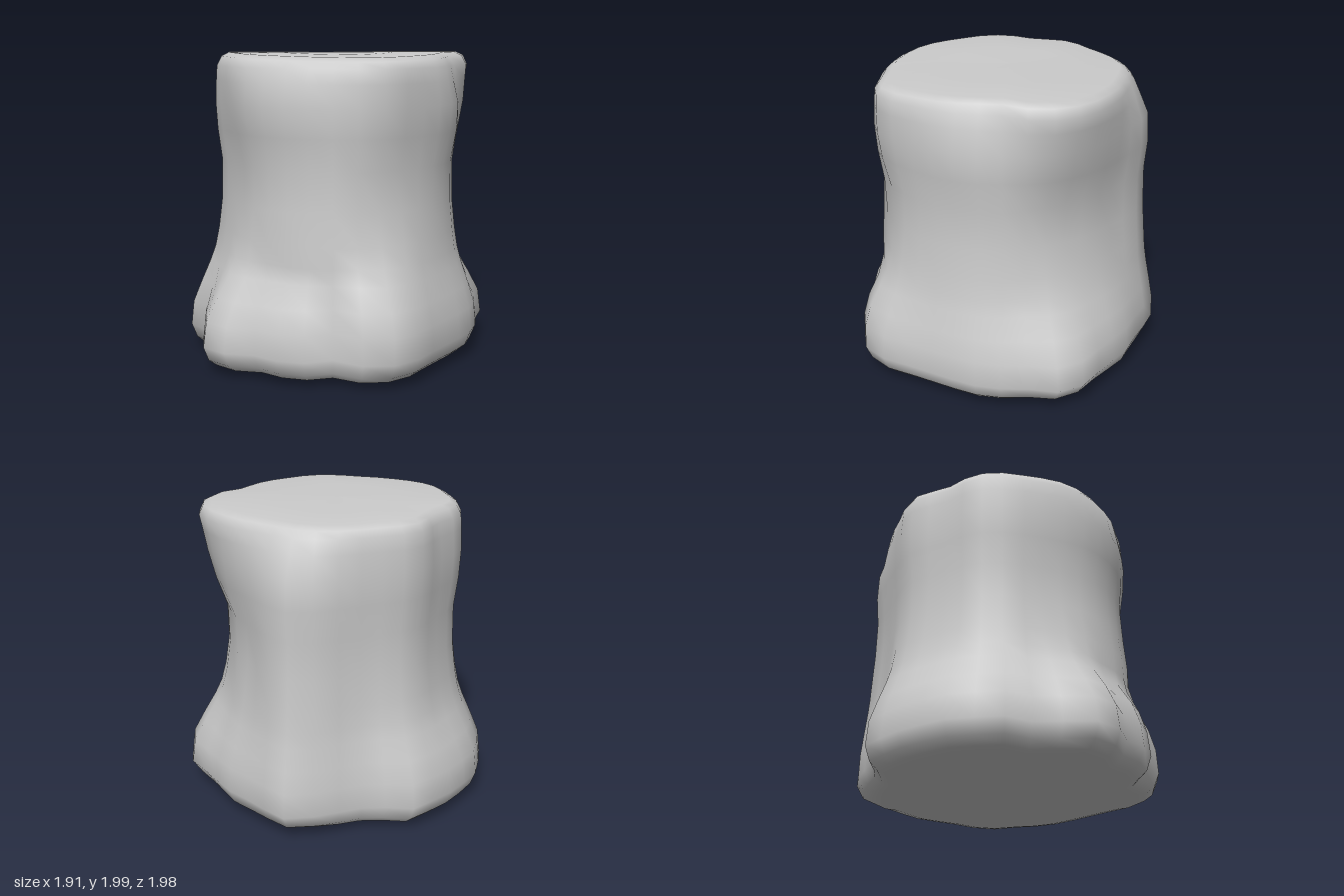
import * as THREE from 'three';

// Radii every 10 degrees, turning from +x towards +z
const ROOTS = [.95, .93, .93, .96, 1.03, 1.07, 1.04, .94, .99, .99, .96, 1.04, 1.06, .97, .91, .98, .97, .975,
  .95, .94, .93, .94, .85, .82, .86, .93, 1.0, .95, .92, .93, .93, .96, 1.03, 1.04, .97, .96];
const WAIST = [.80, .80, .81, .82, .85, .86, .83, .83, .82, .81, .79, .77, .74, .73, .74, .76, .76, .74,
  .72, .73, .75, .75, .74, .76, .80, .87, .90, .86, .81, .78, .76, .74, .74, .75, .765, .79];
const RIM = [.77, .79, .81, .83, .87, .89, .86, .82, .81, .80, .80, .80, .79, .77, .76, .77, .77, .74,
  .70, .72, .76, .75, .73, .74, .76, .77, .77, .76, .77, .80, .83, .87, .90, .90, .86, .77];

// Cross-sections: height, share of roots, waist and rim outline
const RINGS = [
  [.025, 0, 0, 0], [.025, .5, 0, 0], [.03, .84, 0, 0], [.045, .91, 0, 0], [.09, .965, 0, 0], [.18, 1, 0, 0],
  [.34, .92, .08, 0], [.48, .66, .34, 0], [.62, .38, .62, 0], [.72, .22, .78, 0], [.85, .1, .9, 0], [1.05, .02, .97, 0],
  [1.3, 0, .92, .07], [1.5, 0, .66, .36], [1.68, 0, .44, .59], [1.82, 0, .22, .8], [1.91, 0, .05, .96],
  [1.96, 0, 0, .97], [1.985, 0, 0, .91], [1.99, 0, 0, .5], [1.99, 0, 0, 0],
];

// Bark swellings (+) and hollows (-): angle, its slant per height, width, height, extent, depth
const BARK = [
  [82, -16, 9, 1.1, .55, .025], // slanting front fold
  [62, -13, 12, 1.1, .55, -.035], // hollow beside it
  [55, 0, 11, .5, .2, .04], // front root knuckle
  [70, 0, 8, .35, .25, -.045], // cleft between front roots
  [92, 0, 22, .65, .1, -.04], // crease above the front roots
  [95, 0, 28, 1.68, .16, .035], // swelling below the front rim
  [260, 0, 16, 1.62, .2, .045], // swelling below the back rim
  [4, 0, 18, 1.62, .2, .035], // swelling below the side rim
  [288, 0, 9, 1.15, .35, -.025], // groove beside the back ridge
  [235, 0, 9, .85, .4, -.02], // groove on its other side
  [320, 0, 20, .02, .08, -.06], // undercut back roots
  [260, 0, 14, .02, .06, -.06],
];

const bump = (d, width) => Math.exp(-(d * d) / (width * width));

const bark = (deg, y) => BARK.reduce((sum, [angle, slant, width, height, extent, depth]) => {
  const d = (deg - angle - slant * y + 540) % 360 - 180;
  return sum + depth * bump(d, width) * bump(y - height, extent);
}, 0);

function stumpGeometry() {
  const n = ROOTS.length, positions = [], index = [];
  RINGS.forEach(([y, a, b, c]) => {
    for (let i = 0; i < n; i++) {
      const deg = i * 10, t = THREE.MathUtils.degToRad(deg);
      let r = a * ROOTS[i] + b * WAIST[i] + c * RIM[i];
      if (r > .6) r += bark(deg, y);
      let h = y;
      if (y < .04 && a > .8) h -= .03 * bump(deg - 256, 9); // low root tip at the back
      if (y > 1.95) h += .012 * Math.cos(t * 2 + 1) * r; // slightly uneven cut
      positions.push(r * Math.cos(t), h, r * Math.sin(t));
    }
  });
  for (let j = 0; j < RINGS.length - 1; j++) {
    for (let i = 0; i < n; i++) {
      const p = j * n + i, q = j * n + (i + 1) % n;
      if (j < RINGS.length - 2) index.push(p, p + n, q + n);
      else index.push(p, p + n, q);
      if (j > 0 && j < RINGS.length - 2) index.push(p, q + n, q);
    }
  }
  const geometry = new THREE.BufferGeometry();
  geometry.setAttribute('position', new THREE.Float32BufferAttribute(positions, 3));
  geometry.setIndex(index);
  geometry.computeVertexNormals();
  return geometry;
}

export function createModel() {
  const group = new THREE.Group();
  group.name = 'treeStump';
  const stump = new THREE.Mesh(stumpGeometry(), new THREE.MeshStandardMaterial({ color: 0xcccccc }));
  stump.name = 'stump';
  group.add(stump);
  return group;
}
